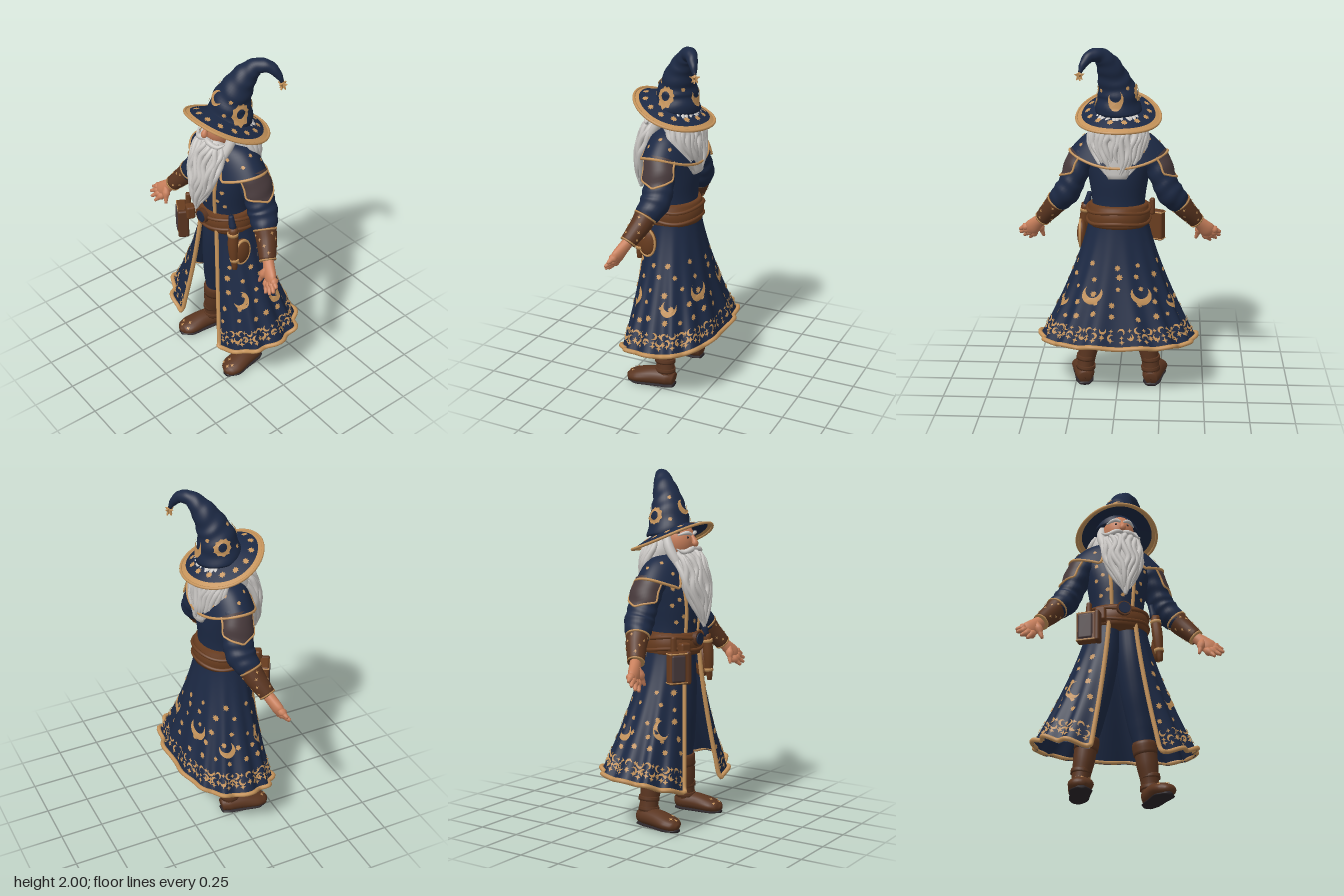
import * as THREE from 'three';
import { mergeGeometries } from 'three/addons/utils/BufferGeometryUtils.js';
import { RoundedBoxGeometry } from 'three/addons/geometries/RoundedBoxGeometry.js';

const V = (x, y, z) => new THREE.Vector3(x, y, z);
const { cos, sin, PI, abs, sign, max } = Math;
const lerp = (a, b, t) => a + (b - a) * t;
const mat = (name, color) => new THREE.MeshStandardMaterial({ name, color, side: THREE.DoubleSide });

// surface function for a tube through [x, y, z, radiusA, radiusB] stations
function sweepFn(pts, ref = V(0, 0, 1), amp = 0, waves = 0) {
  const path = new THREE.CatmullRomCurve3(pts.map(p => V(p[0], p[1], p[2])));
  const radii = new THREE.CatmullRomCurve3(pts.map(p => V(p[3], p[4] ?? p[3], 0)));
  return (u, v) => {
    const t = Math.min(1, max(0, v)), T = path.getTangent(t), r = radii.getPoint(t);
    const A = T.clone().cross(ref).normalize(), B = A.clone().cross(T), a = u * 2 * PI;
    const k = 1 + amp * sin(t * waves * 2 * PI + 1.2 * sin(a * 2));
    return path.getPoint(t).addScaledVector(A, r.x * k * cos(a)).addScaledVector(B, r.y * k * sin(a));
  };
}

// skin a surface function with a grid; goldRows marks border rows as a second material
function grid(fn, nu, nv, { wrap = true, caps = false, goldRows = 0 } = {}) {
  const pos = [], idx = [], cols = wrap ? nu : nu + 1;
  let rows = Array.from({ length: nv + 1 }, (_, i) => Array.from({ length: cols }, (_, j) => fn(j / nu, i / nv)));
  if (caps) {
    const centre = row => Array(cols).fill(row.reduce((s, p) => s.add(p), V(0, 0, 0)).divideScalar(cols));
    rows = [centre(rows[0]), ...rows, centre(rows[nv])];
  }
  rows.flat().forEach(p => pos.push(p.x, p.y, p.z));
  for (let i = 0; i < rows.length - 1; i++) for (let j = 0; j < nu; j++) {
    const k = (j + 1) % cols, a = i * cols + j, b = i * cols + k, c = a + cols, d = b + cols;
    idx.push(a, c, b, b, c, d);
  }
  const g = new THREE.BufferGeometry();
  g.setAttribute('position', new THREE.Float32BufferAttribute(pos, 3));
  g.setIndex(idx);
  g.computeVertexNormals();
  if (goldRows) {
    g.addGroup(0, goldRows * nu * 6, 0);
    g.addGroup(goldRows * nu * 6, idx.length, 1);
  }
  return g;
}
const sweep = (pts, nu = 20, nv = 20, ref) => grid(sweepFn(pts, ref), nu, nv, { caps: true });
const tube = (pts, r, closed = false) =>
  new THREE.TubeGeometry(new THREE.CatmullRomCurve3(pts, closed), pts.length * 2, r, 8, closed);

// flat motifs of unit size
function starShape(n, inner = 0.5) {
  return new THREE.Shape(Array.from({ length: n * 2 }, (_, i) => {
    const r = i % 2 ? inner : 1, a = PI / 2 + i * PI / n;
    return new THREE.Vector2(r * cos(a), r * sin(a));
  }));
}
function moonShape(rot) {
  const p = [], N = 14;
  for (let i = 0; i <= N; i++) { const a = lerp(-2.3, 2.3, i / N); p.push([cos(a), sin(a)]); }
  for (let i = N - 1; i > 0; i--) { const a = lerp(-2.0, 2.0, i / N); p.push([cos(a) * 0.74 - 0.4, sin(a) * 0.78]); }
  return new THREE.Shape(p.map(([x, y]) => new THREE.Vector2(x, y).rotateAround(new THREE.Vector2(), rot)));
}
function ringShape() {
  const s = starShape(10, 0.85);
  s.holes.push(new THREE.Path().absarc(0, 0, 0.46, 0, 2 * PI, true));
  return s;
}
// lay a motif on a surface function
function decal(fn, u, v, shape, size, lift = 0.005) {
  const g = new THREE.ShapeGeometry(shape, 8), P = g.attributes.position, e = 0.004;
  const du = fn(u + e, v).sub(fn(u - e, v)).divideScalar(2 * e), dv = fn(u, v + e).sub(fn(u, v - e)).divideScalar(2 * e);
  const n = dv.clone().cross(du).normalize();
  for (let i = 0; i < P.count; i++) {
    const p = fn(u - P.getX(i) * size / du.length(), v + P.getY(i) * size / dv.length()).addScaledVector(n, lift);
    P.setXYZ(i, p.x, p.y, p.z);
  }
  g.computeVertexNormals();
  return g;
}

export function createModel() {
  const root = new THREE.Group();
  root.name = 'wizard';
  const navy = mat('navy cloth', 0x1c2944), gold = mat('gold trim', 0xc5935a), leather = mat('leather', 0x683c1f),
    boot = mat('boot leather', 0x5a3520), hair = mat('white hair', 0xcbc8c5), skin = mat('skin', 0xc9805c),
    sole = mat('dark sole', 0x2b2529), pad = mat('patterned brown', 0x483a3c);
  const add = (name, geo, m, parent = root) => {
    const mesh = new THREE.Mesh(geo, m);
    mesh.name = name;
    parent.add(mesh);
    return mesh;
  };
  let seed = 7;
  const rnd = () => (seed = (seed * 16807) % 2147483647) / 2147483647;
  const star = starShape(8, 0.65), ring = ringShape(), fleck = starShape(4, 0.4);

  // robe body
  const torso = sweepFn([[0, 0.98, 0.035, 0.155, 0.14], [0, 1.1, 0.04, 0.15, 0.135], [0, 1.25, 0.04, 0.17, 0.145],
    [0, 1.38, 0.03, 0.195, 0.13], [0, 1.47, 0.02, 0.15, 0.1], [0, 1.55, 0.03, 0.06, 0.06]]);
  add('robeBody', grid(torso, 40, 24, { caps: true }), navy);
  add('robeStars', mergeGeometries([0.12, 0.165, 0.25, 0.335, 0.38].flatMap((u, i) =>
    [0.28, 0.4, 0.53].map((v, k) => decal(torso, u + (k % 2) * 0.02, v + (i % 2) * 0.04, star, 0.015)))), gold);
  for (const u of [0.185, 0.315])
    add('frontPiping', tube([0.2, 0.35, 0.48, 0.6, 0.7].map(v => torso(u, v)), 0.011), gold);

  // split skirt with scalloped folds, from hem (v = 0) to waist (v = 1)
  const skirt = (u, v) => {
    const t = 1 - v, f = Math.pow(max(0, t), 1.3), phi = lerp(0.46, 0.375, f);
    const a = lerp(PI / 2 + phi, 2.5 * PI - phi, u), c = cos(a), s = sin(a);
    const k = 1 + 0.035 * f * cos(14 * a), p = lerp(1, 0.8, f);
    const hem = 0.295 - 0.09 * max(0, s) ** 2 + 0.02 * max(0, -s) + 0.008 * cos(14 * a);
    return V(sign(c) * abs(c) ** p * lerp(0.165, 0.438, f) * k, lerp(1.03, hem, t),
      lerp(0.035, 0, f) + sign(s) * abs(s) ** p * lerp(0.145, s > 0 ? 0.262 : 0.274, f) * k);
  };
  add('skirt', grid(skirt, 140, 24, { wrap: false }), navy);
  // trim lies on the outside, leaving the lining plain
  const edge = u => Array.from({ length: 8 }, (_, i) => skirt(u, 0.95 - i * 0.13));
  const hemLine = Array.from({ length: 111 }, (_, i) => skirt(i / 110, 0.018).multiply(V(1.028, 1, 1.035)));
  add('skirtTrim', tube([...edge(0), ...hemLine, ...edge(1).reverse()], 0.013), gold);
  const motifs = [];
  for (const [u, v, r, s] of [[0.11, 0.4, -2.5, 0.055], [0.89, 0.4, -0.7, 0.055], [0.28, 0.34, -1.2, 0.05],
    [0.72, 0.34, -1.9, 0.05], [0.42, 0.42, -1.6, 0.058], [0.58, 0.42, -1.6, 0.058]]) motifs.push(decal(skirt, u, v, moonShape(r), s));
  for (let row = 0; row < 5; row++) for (let i = 0; i < 17 - row * 2; i++)
    motifs.push(decal(skirt, (i + 0.5 + (rnd() - 0.5) * 0.4) / (17 - row * 2), 0.25 + row * 0.1 + (rnd() - 0.5) * 0.05, star, 0.014 + rnd() * 0.007));
  for (let i = 0; i < 56; i++) {
    const u = (i + 1) / 57;
    motifs.push(decal(skirt, u, 0.1 + 0.045 * (i % 2), moonShape(i * 1.9), 0.02, 0.006));
    motifs.push(decal(skirt, u, 0.065 + 0.012 * (i % 3), fleck, 0.017, 0.006));
    motifs.push(decal(skirt, u, 0.15 - 0.05 * (i % 2), fleck, 0.014, 0.007));
  }
  add('skirtMotifs', mergeGeometries(motifs), gold);

  // shoulder cape
  const cape = (u, v) => {
    const a = lerp(PI / 2 + 0.5, 2.5 * PI - 0.5, u), c = cos(a), s = sin(a);
    return V(c * lerp(0.275, 0.09, v), lerp(1.335 + 0.07 * c * c, 1.53, v) + 0.03 * sin(PI * v), 0.03 + s * lerp(0.16, 0.085, v));
  };
  add('cape', grid(cape, 64, 12, { wrap: false }), navy);
  add('capeTrim', tube([cape(0, 0.9), cape(0, 0.5), ...Array.from({ length: 41 }, (_, i) => cape(i / 40, 0)), cape(1, 0.5), cape(1, 0.9)], 0.008), gold);
  add('capeStars', mergeGeometries(Array.from({ length: 12 }, (_, i) => decal(cape, (i + 0.5) / 12, 0.25 + 0.2 * (i % 2), star, 0.013))), gold);

  // belt, buckle and things hanging from it
  add('belt', sweep([[0, 0.975, 0.035, 0.172, 0.155], [0, 1.035, 0.037, 0.18, 0.166], [0, 1.1, 0.04, 0.166, 0.15]], 40, 8), leather);
  for (const y of [1.005, 1.07])
    add('beltFold', tube(Array.from({ length: 24 }, (_, i) => V(0.178 * cos(i * PI / 12), y + 0.008 * sin(i * PI / 4), 0.037 + 0.163 * sin(i * PI / 12))), 0.01, true), leather);
  for (const [name, r, z, m] of [['buckle', 0.042, 0.206, boot], ['buckleGem', 0.033, 0.212, navy]]) {
    const b = add(name, new THREE.CylinderGeometry(r, r, 0.025, 24), m);
    b.rotation.x = PI / 2;
    b.position.set(0, 1.06, z);
  }
  const box = (name, w, h, d, x, y, z, ry, m) => {
    const b = add(name, new RoundedBoxGeometry(w, h, d, 3, 0.012), m);
    b.position.set(x, y, z);
    b.rotation.y = ry;
  };
  box('book', 0.115, 0.18, 0.055, -0.205, 0.92, 0.205, -0.5, leather);
  box('bookCover', 0.085, 0.15, 0.06, -0.212, 0.92, 0.206, -0.5, pad);
  box('bookSpine', 0.03, 0.185, 0.063, -0.153, 0.92, 0.233, -0.5, boot);
  for (const y of [0.84, 1.0]) box('bookClasp', 0.117, 0.008, 0.058, -0.205, y, 0.205, -0.5, gold);
  box('beltPouch', 0.06, 0.08, 0.05, -0.13, 1.01, 0.2, -0.4, leather);
  box('bookStrap', 0.03, 0.1, 0.03, -0.19, 1.04, 0.17, -0.6, leather);
  add('sheath', sweep([[0.195, 1.06, 0.14, 0.026], [0.205, 0.95, 0.15, 0.03], [0.22, 0.79, 0.15, 0.014]], 14, 12), leather);
  for (const [x, y, r] of [[0.197, 1.03, 0.031], [0.213, 0.86, 0.027]])
    add('sheathTrim', sweep([[x, y, 0.146, r], [x + 0.002, y - 0.018, 0.147, r]], 14, 2), gold);
  add('daggerGrip', sweep([[0.172, 1.13, 0.14, 0.014], [0.19, 1.05, 0.14, 0.022]], 12, 4), navy);
  const satchel = add('satchel', new THREE.SphereGeometry(1, 20, 14), leather);
  satchel.scale.set(0.03, 0.085, 0.055);
  satchel.position.set(0.215, 0.89, 0.1);
  const satchelRim = add('satchelRim', new THREE.TorusGeometry(0.068, 0.008, 8, 28), gold);
  satchelRim.rotation.y = PI / 2;
  satchelRim.scale.set(0.75, 1.15, 1);
  satchelRim.position.set(0.225, 0.89, 0.1);

  // limbs, built on the left and mirrored
  for (const side of [1, -1]) {
    const limb = new THREE.Group();
    limb.name = side > 0 ? 'leftLimbs' : 'rightLimbs';
    limb.scale.x = side;
    root.add(limb);
    const arm = sweepFn([[0.13, 1.42, 0.02, 0.07, 0.08], [0.2, 1.36, 0.02, 0.078, 0.086], [0.25, 1.25, 0.01, 0.07, 0.086],
      [0.29, 1.17, 0.012, 0.076, 0.085], [0.345, 1.1, 0.04, 0.064, 0.066], [0.375, 1.06, 0.055, 0.048]], undefined, 0.03, 7);
    add('sleeve', grid(arm, 28, 50, { caps: true }), navy, limb);
    const patch = (u, v) => {
      const p = arm(lerp(0.3, 0.7, u), lerp(0.44 - 0.1 * abs(u - 0.5) * 2, 0.19, v)), c = arm(0, 0.3).add(arm(0.5, 0.3)).multiplyScalar(0.5);
      return p.addScaledVector(p.clone().sub(c).normalize(), 0.009);
    };
    add('armPad', grid(patch, 20, 8, { wrap: false }), pad, limb);
    add('armPadTrim', tube([patch(0, 1), patch(0, 0.5), ...Array.from({ length: 11 }, (_, i) => patch(i / 10, 0)), patch(1, 0.5), patch(1, 1)], 0.006), gold, limb);
    const bracer = sweepFn([[0.345, 1.105, 0.04, 0.064], [0.375, 1.065, 0.053, 0.059], [0.412, 1.02, 0.076, 0.052], [0.448, 0.975, 0.1, 0.045]]);
    add('bracer', grid(bracer, 22, 10, { caps: true }), boot, limb);
    add('bracerFlecks', mergeGeometries(Array.from({ length: 16 }, (_, i) => decal(bracer, i / 16, 0.2 + 0.2 * (i % 4), fleck, 0.011))), gold, limb);
    add('bracerTopTrim', sweep([[0.347, 1.103, 0.041, 0.067], [0.353, 1.095, 0.044, 0.066]], 22, 2), gold, limb);
    add('bracerEndTrim', sweep([[0.443, 0.981, 0.097, 0.048], [0.449, 0.974, 0.1, 0.047]], 22, 2), gold, limb);

    // hand
    add('palm', sweep([[0.435, 0.99, 0.09, 0.032, 0.03], [0.475, 0.952, 0.112, 0.038, 0.03], [0.51, 0.915, 0.13, 0.046, 0.028], [0.537, 0.89, 0.143, 0.034, 0.018]], 16, 12), skin, limb);
    for (const [bx, by, tx, ty, tz] of [[0.54, 0.918, 0.588, 0.896, 0.15], [0.532, 0.902, 0.586, 0.872, 0.168],
      [0.515, 0.89, 0.565, 0.85, 0.178], [0.496, 0.885, 0.53, 0.837, 0.178], [0.468, 0.93, 0.445, 0.855, 0.155]])
      add('finger', sweep([[bx - (tx - bx) * 0.3, by - (ty - by) * 0.3, 0.128, 0.015], [(bx + tx) / 2, (by + ty) / 2, lerp(0.13, tz, 0.6), 0.015], [tx, ty, tz, 0.008]], 10, 8), skin, limb);

    // leg and boot
    add('trouserLeg', sweep([[0.065, 1.0, 0.03, 0.085, 0.1], [0.08, 0.82, 0.04, 0.086, 0.095], [0.11, 0.62, 0.03, 0.083, 0.085],
      [0.145, 0.44, 0.01, 0.074, 0.074], [0.16, 0.31, 0.01, 0.05]], 24, 24), navy, limb);
    add('bootShaft', sweep([[0.16, 0.35, 0.01, 0.062], [0.175, 0.23, 0.01, 0.06], [0.19, 0.13, 0.005, 0.05, 0.054], [0.2, 0.04, 0, 0.052, 0.056]], 22, 16), boot, limb);
    add('bootCuff', sweep([[0.158, 0.35, 0.01, 0.064], [0.16, 0.33, 0.01, 0.069], [0.167, 0.28, 0.01, 0.066]], 22, 6), boot, limb);
    for (const y of [0.16, 0.1]) add('bootStrap', sweep([[0.19, y + 0.012, 0.005, 0.055, 0.059], [0.192, y - 0.012, 0.005, 0.056, 0.061]], 22, 3), boot, limb);
    const up = V(0, 1, 0);
    const foot = sweepFn([[0.195, 0.045, -0.055, 0.035, 0.036], [0.198, 0.055, -0.01, 0.056, 0.05], [0.21, 0.055, 0.07, 0.06, 0.05],
      [0.222, 0.044, 0.16, 0.068, 0.04], [0.23, 0.036, 0.208, 0.05, 0.03], [0.232, 0.034, 0.23, 0.015, 0.012]], up);
    add('bootFoot', grid(foot, 20, 24, { caps: true }), boot, limb);
    add('bootFlecks', mergeGeometries([[0.2, 0.62], [0.3, 0.7], [0.25, 0.8], [0.12, 0.72]].map(([u, v]) => decal(foot, u, v, fleck, 0.013))), gold, limb);
    add('bootSole', sweep([[0.195, 0.01, -0.055, 0.032, 0.01], [0.198, 0.01, -0.01, 0.052, 0.01], [0.21, 0.01, 0.08, 0.055, 0.01],
      [0.222, 0.01, 0.16, 0.061, 0.01], [0.232, 0.01, 0.225, 0.022, 0.01]], 16, 20, up), sole, limb);

    // face details
    add('eyebrow', sweep([[0.008, 1.638, 0.168, 0.007], [0.04, 1.648, 0.16, 0.011], [0.08, 1.635, 0.125, 0.004]], 10, 10), hair, limb);
    const eye = add('eye', new THREE.SphereGeometry(0.007, 10, 8), sole, limb);
    eye.position.set(0.034, 1.622, 0.159);
    add('moustache', sweep([[0, 1.565, 0.178, 0.01], [0.04, 1.557, 0.185, 0.016], [0.085, 1.543, 0.165, 0.012], [0.115, 1.562, 0.14, 0.003]], 10, 14), hair, limb);
    add('sideburn', sweep([[0.088, 1.65, 0.05, 0.018], [0.102, 1.57, 0.08, 0.028], [0.095, 1.48, 0.13, 0.025], [0.08, 1.38, 0.17, 0.004]], 12, 12), hair, limb);
  }

  // head
  const head = add('head', new THREE.SphereGeometry(1, 28, 20), skin);
  head.scale.set(0.09, 0.11, 0.097);
  head.position.set(0, 1.605, 0.073);
  add('nose', sweep([[0, 1.64, 0.16, 0.008], [0, 1.61, 0.178, 0.014], [0, 1.588, 0.186, 0.019], [0, 1.575, 0.178, 0.008]], 12, 10), skin);

  // beard and hair, with wavy locks laid over a core
  const beard = sweepFn([[0, 1.54, 0.11, 0.075, 0.045], [0, 1.48, 0.15, 0.108, 0.07], [0, 1.37, 0.185, 0.106, 0.068],
    [0, 1.25, 0.22, 0.06, 0.046], [0, 1.13, 0.25, 0.008]]);
  const mane = sweepFn([[0, 1.63, 0.01, 0.1, 0.07], [0, 1.56, -0.01, 0.145, 0.095], [0, 1.48, -0.03, 0.158, 0.095],
    [0, 1.38, -0.075, 0.12, 0.06], [0, 1.27, -0.11, 0.05, 0.022]]);
  add('beardCore', grid(beard, 24, 20, { caps: true }), hair);
  add('hairCore', grid(mane, 32, 20, { caps: true }), hair);
  const locks = (name, fn, u0, u1, n, r, sway) => {
    for (let i = 0; i < n; i++) {
      const u = lerp(u0, u1, i / (n - 1)), top = 0.05 + rnd() * 0.1, end = 0.8 + rnd() * 0.18, ph = rnd() * 6;
      add(name, sweep(Array.from({ length: 7 }, (_, k) => {
        const p = fn(u + sway * sin(k * 1.9 + ph), lerp(top, end, k / 6));
        return [p.x, p.y, p.z, k === 6 ? 0.003 : r * (0.8 + 0.4 * sin(k / 6 * PI))];
      }), 9, 18), hair);
    }
  };
  locks('beardLock', beard, 0.0, 0.5, 11, 0.015, 0.025);
  locks('hairLock', mane, 0.49, 1.01, 17, 0.016, 0.015);

  // hat
  const brim = (u, v) => {
    const a = u * 2 * PI, r = lerp(0.235, 0.09, v), k = r / 0.235, z = 0.935 * r * sin(a);
    return V(r * cos(a), 1.69 - 0.095 * Math.pow(k, 1.2) + 0.36 * z + 0.03 * k * sin(a) ** 2, 0.035 + z);
  };
  add('hatBrim', grid(brim, 64, 15, { goldRows: 3 }), [gold, navy]);
  add('hatBrimEdge', tube(Array.from({ length: 40 }, (_, i) => brim(i / 40, 0)), 0.008, true), gold);
  add('brimStars', mergeGeometries(Array.from({ length: 14 }, (_, i) => decal(brim, i / 14, 0.45, star, 0.02))), gold);
  const cone = sweepFn([[0, 1.63, 0.02, 0.13], [0.006, 1.74, 0.008, 0.108], [0.028, 1.82, -0.015, 0.086], [0.055, 1.9, -0.055, 0.064],
    [0.095, 1.953, -0.095, 0.043], [0.145, 1.955, -0.135, 0.033], [0.18, 1.915, -0.163, 0.022], [0.197, 1.875, -0.178, 0.01]], undefined, 0.03, 8);
  add('hatCone', grid(cone, 36, 60, { caps: true }), navy);
  add('hatMotifs', mergeGeometries([decal(cone, 0.27, 0.18, moonShape(-2.4), 0.045, 0.007), decal(cone, 0.03, 0.13, ring, 0.055, 0.007),
    decal(cone, 0.53, 0.13, ring, 0.055, 0.007), decal(cone, 0.76, 0.14, moonShape(-1.6), 0.045, 0.007),
    ...[[0.14, 0.22], [0.4, 0.25], [0.64, 0.2], [0.9, 0.24], [0.15, 0.1], [0.4, 0.1]].map(([u, v]) => decal(cone, u, v, star, 0.014, 0.007))]), gold);
  for (const turn of [0, PI / 2]) {
    const charm = add('hatStar', new THREE.ExtrudeGeometry(starShape(5, 0.45), { depth: 0.3, bevelEnabled: false }).translate(0, 0, -0.15).scale(0.03, 0.03, 0.03), gold);
    charm.position.set(0.2, 1.858, -0.18);
    charm.rotation.y = 0.3 + turn;
  }
  return root;
}
